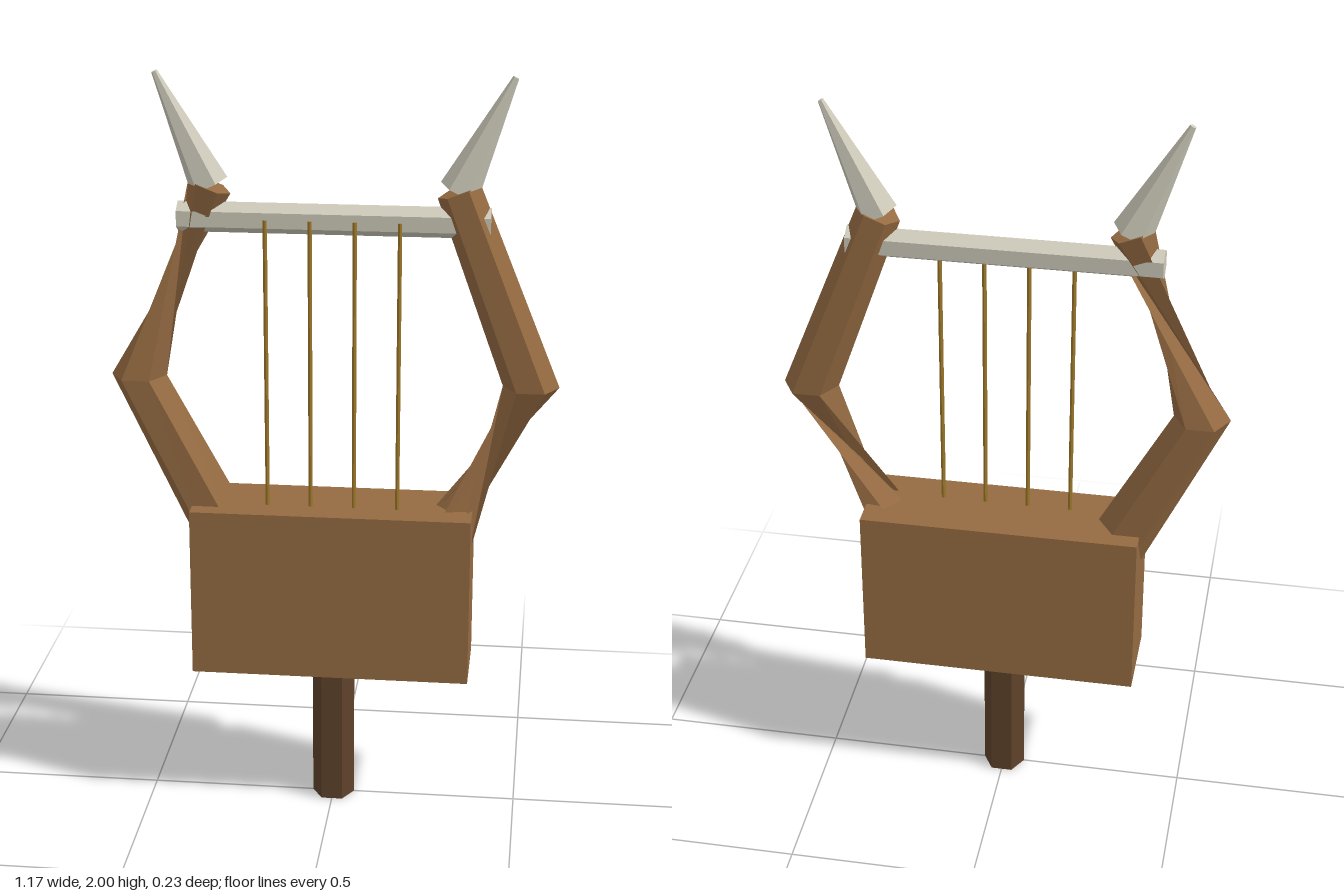
import * as THREE from 'three';

const mat = (name, color) => {
  const m = new THREE.MeshStandardMaterial({ color, flatShading: true, side: THREE.DoubleSide });
  m.name = name;
  return m;
};

// Six-sided tube through rings {x, y, r, t: [tx, ty]}; the ring frame turns over
// when the path leans the other way, which gives the arms their twisted stretch.
function hexTube(rings) {
  const sides = 6, pos = [];
  const pts = rings.map(({ x, y, r, t }) => {
    const dir = new THREE.Vector3(t[0], t[1], 0).normalize();
    const n = new THREE.Vector3(0, 0, t[0] > 0 ? 1 : -1);
    const b = n.clone().cross(dir);
    return Array.from({ length: sides }, (_, i) => {
      const a = (i / sides) * Math.PI * 2;
      return new THREE.Vector3(x, y, 0)
        .addScaledVector(b, r * Math.cos(a))
        .addScaledVector(n, r * Math.sin(a));
    });
  });
  const tri = (...vs) => vs.forEach((v) => pos.push(v.x, v.y, v.z));
  for (let k = 0; k < rings.length - 1; k++) {
    for (let i = 0; i < sides; i++) {
      const j = (i + 1) % sides;
      const lo = pts[k], hi = pts[k + 1];
      tri(lo[i], lo[j], hi[j]);
      tri(lo[i], hi[j], hi[i]);
    }
  }
  // End caps
  const first = pts[0], last = pts[pts.length - 1];
  for (let i = 1; i < sides - 1; i++) {
    tri(first[0], first[i + 1], first[i]);
    tri(last[0], last[i], last[i + 1]);
  }
  const g = new THREE.BufferGeometry();
  g.setAttribute('position', new THREE.Float32BufferAttribute(pos, 3));
  g.computeVertexNormals();
  return g;
}

export function createModel() {
  const wood = mat('wood', 0x956b42);
  const darkWood = mat('dark wood', 0x5e422a);
  const bone = mat('bone', 0xcfcbbb);
  const gut = mat('golden string', 0xa07a2c);

  const model = new THREE.Group();
  model.name = 'lyre';
  const add = (name, geometry, material, x = 0, y = 0, z = 0) => {
    const m = new THREE.Mesh(geometry, material);
    m.name = name;
    m.position.set(x, y, z);
    model.add(m);
  };

  // Sound box and handle
  add('soundBox', new THREE.BoxGeometry(0.74, 0.46, 0.23), wood, 0, 0.63, 0);
  add('handle', new THREE.CylinderGeometry(0.057, 0.057, 0.41, 6).rotateY(Math.PI / 2), darkWood, 0, 0.205, 0);

  // Curved arms with horn tips
  for (const s of [1, -1]) {
    const side = s > 0 ? 'left' : 'right';
    add(side + 'Arm', hexTube([
      { x: s * 0.29, y: 0.757, r: 0.08, t: [s * 0.225, 0.443] },
      { x: s * 0.513, y: 1.2, r: 0.073, t: [0, 1] },
      { x: s * 0.317, y: 1.71, r: 0.057, t: [s * -0.196, 0.51] },
    ]), wood);
    const t = [s * 0.135, 0.29];
    add(side + 'Horn', hexTube([
      { x: s * 0.318, y: 1.71, r: 0.052, t },
      { x: s * 0.452, y: 1.997, r: 0.008, t },
    ]), bone);
  }

  // Crossbar
  add('crossbar', new THREE.CylinderGeometry(0.04, 0.04, 0.8, 6).rotateY(Math.PI / 2).rotateZ(Math.PI / 2), bone, 0, 1.628, 0);

  // Strings
  for (let i = 0; i < 4; i++) {
    add('string' + (i + 1), new THREE.CylinderGeometry(0.006, 0.006, 0.78, 6), gut, -0.172 + i * 0.1147, 1.24, 0.034);
  }
  return model;
}
